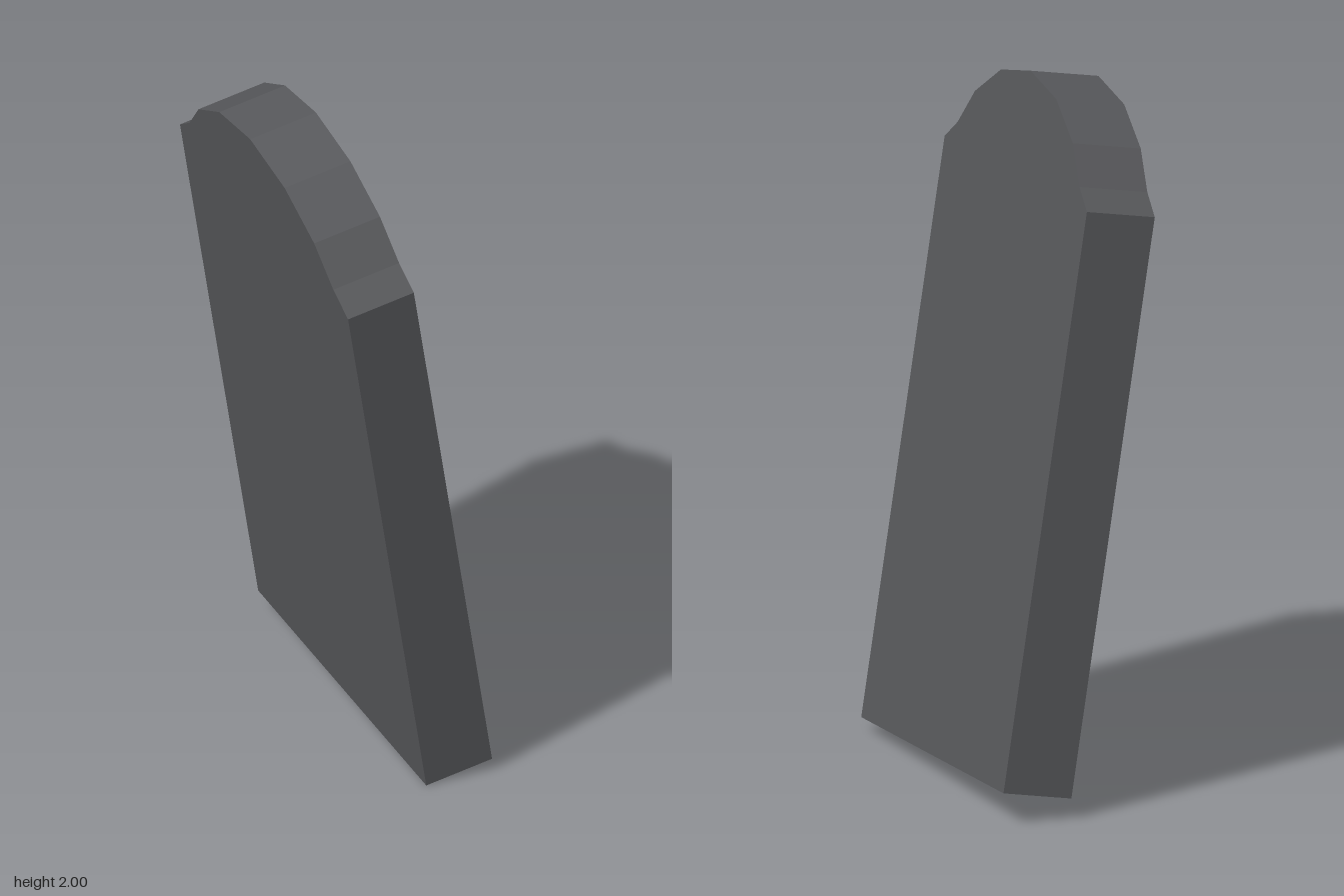
import * as THREE from 'three';

export function createModel() {
  const group = new THREE.Group();
  group.name = 'gravestone';

  // Half outline of the slab, from lower corner over the shoulder to the crown
  const half = [[0.542, 0], [0.542, 1.667], [0.464, 1.723], [0.373, 1.83], [0.211, 1.924]];
  const outline = [
    ...half,
    [0, 1.963],
    ...half.map(([x, y]) => [-x, y]).reverse(),
  ].map(([x, y]) => new THREE.Vector2(x, y));

  const thickness = 0.207;
  const geometry = new THREE.ExtrudeGeometry(new THREE.Shape(outline), {
    depth: thickness,
    bevelEnabled: false,
  });
  geometry.translate(0, 0, -thickness);

  const material = new THREE.MeshStandardMaterial({ color: 0x57585b, flatShading: true });
  const slab = new THREE.Mesh(geometry, material);
  slab.name = 'slab';

  // Turned and leaning to one side, as if sunk into the ground
  const across = new THREE.Vector3(0.3555, 0.055, -0.933).normalize();
  const up = new THREE.Vector3(-0.179, 0.983, -0.014);
  up.addScaledVector(across, -up.dot(across)).normalize();
  const facing = new THREE.Vector3().crossVectors(across, up);
  slab.quaternion.setFromRotationMatrix(new THREE.Matrix4().makeBasis(across, up, facing));
  slab.position.set(0.243, 0.07, 0.05);
  group.add(slab);

  // Stand the lowest corner on the ground and centre the slab
  group.updateMatrixWorld(true);
  const box = new THREE.Box3().setFromObject(slab, true);
  const centre = box.getCenter(new THREE.Vector3());
  slab.position.sub(new THREE.Vector3(centre.x, box.min.y, centre.z));

  return group;
}
